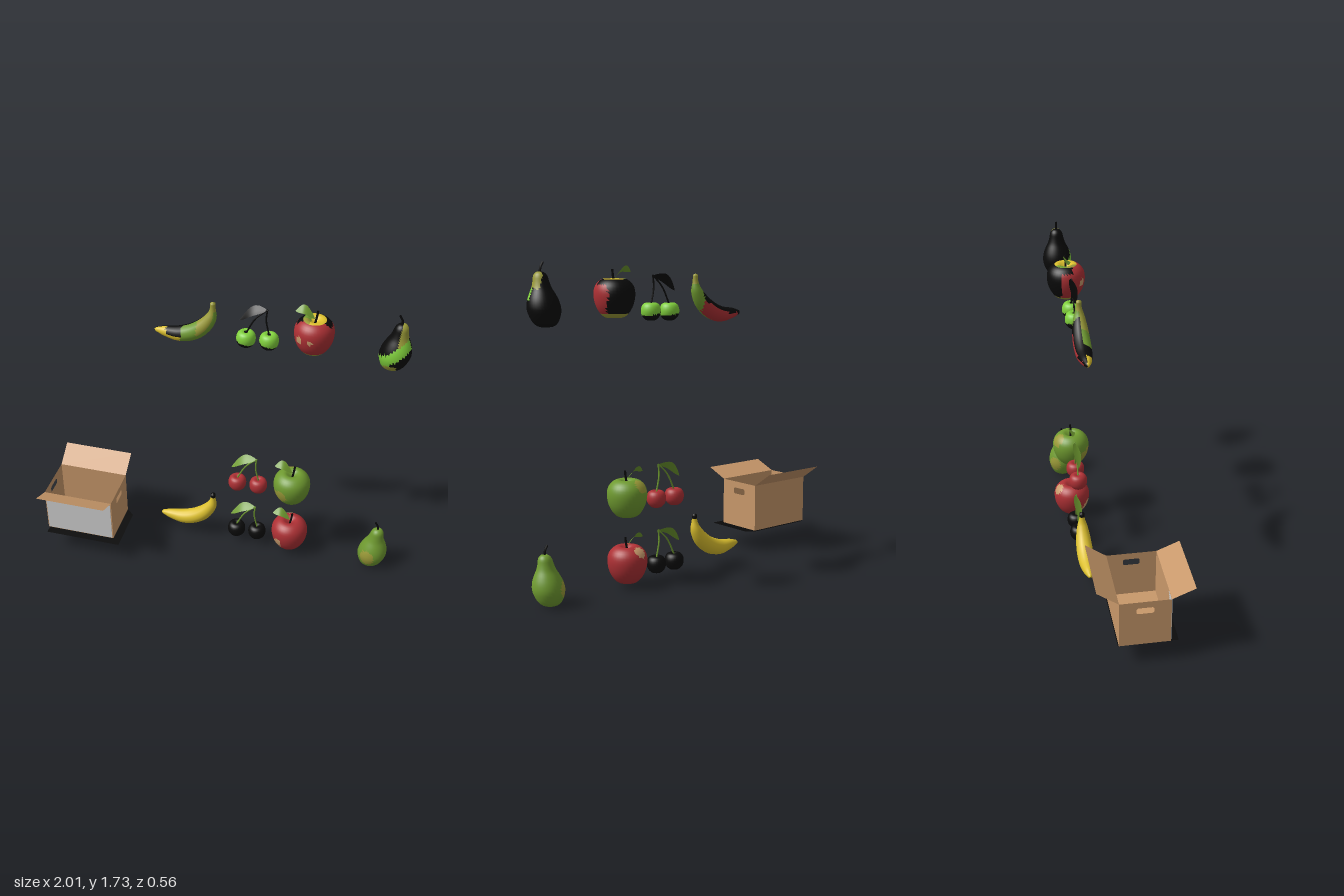
import * as THREE from 'three';

const mat = (name, color, side = THREE.FrontSide) => {
  const m = new THREE.MeshStandardMaterial({ color, side });
  m.name = name;
  return m;
};
const M = {
  cardboard: mat('cardboard', 0xc8986a, THREE.DoubleSide),
  grey: mat('panel grey', 0xd0d0d0),
  black: mat('black', 0x0a0a0a, THREE.DoubleSide),
  yellow: mat('yellow', 0xdcc02e),
  green: mat('green', 0x6f9a30, THREE.DoubleSide),
  lime: mat('lime', 0x80cf3c),
  red: mat('red', 0xac3034),
  tan: mat('tan', 0xc89a6c),
  olive: mat('olive', 0x9a9a38),
};
const Z = -0.175; // depth of the fruit row
const V = (x, y, z = 0) => new THREE.Vector3(x, y, z);

function add(parent, name, geo, material, x = 0, y = 0, z = 0) {
  const m = new THREE.Mesh(geo, material);
  m.name = name;
  m.position.set(x, y, z);
  parent.add(m);
  return m;
}

function group(parent, name, x = 0, y = 0, z = 0) {
  const g = new THREE.Group();
  g.name = name;
  g.position.set(x, y, z);
  parent.add(g);
  return g;
}

// Sort triangles into colour groups by a rule on face centre and normal
function painted(parent, name, geo, pick) {
  const p = geo.attributes.position, idx = geo.index.array, buckets = {};
  const v = [V(0, 0), V(0, 0), V(0, 0)], tri = new THREE.Triangle(), c = V(0, 0), n = V(0, 0);
  for (let i = 0; i < idx.length; i += 3) {
    v.forEach((q, k) => q.fromBufferAttribute(p, idx[i + k]));
    tri.set(...v);
    tri.getMidpoint(c);
    tri.getNormal(n);
    (buckets[pick(c, n)] ??= []).push(idx[i], idx[i + 1], idx[i + 2]);
  }
  const order = [], mats = [];
  geo.clearGroups();
  for (const key in buckets) {
    geo.addGroup(order.length, buckets[key].length, mats.length);
    mats.push(M[key]);
    order.push(...buckets[key]);
  }
  geo.setIndex(order);
  return add(parent, name, geo, mats);
}

// Smooth turned body from a bottom-to-top profile
function turned(profile, rows = 28, segs = 36) {
  const curve = new THREE.SplineCurve(profile.map(([r, y]) => new THREE.Vector2(r, y)));
  const pts = curve.getPoints(rows);
  pts.forEach(q => { q.x = Math.max(q.x, 0); });
  return new THREE.LatheGeometry(pts, segs);
}

// Closed body swept along a path of [x, y, radius]
function swept(stations, rows = 40, segs = 16) {
  const path = new THREE.CatmullRomCurve3(stations.map(([x, y]) => V(x, y)));
  const rad = new THREE.SplineCurve(stations.map(([, , r], i) => new THREE.Vector2(i, r)));
  const pos = [], index = [];
  for (let i = 0; i <= rows; i++) {
    const u = i / rows, c = path.getPoint(u), t = path.getTangent(u);
    const r = i % rows ? Math.max(rad.getPoint(u).y, 0.003) : 0;
    for (let j = 0; j < segs; j++) {
      const a = j / segs * Math.PI * 2;
      pos.push(c.x - t.y * r * Math.cos(a), c.y + t.x * r * Math.cos(a), r * Math.sin(a));
      if (i === rows) continue;
      const k = (j + 1) % segs, A = i * segs, B = A + segs;
      index.push(A + j, A + k, B + j, A + k, B + k, B + j);
    }
  }
  const g = new THREE.BufferGeometry();
  g.setAttribute('position', new THREE.Float32BufferAttribute(pos, 3));
  g.setIndex(index);
  g.computeVertexNormals();
  return g;
}

const stem = (pts, r) => new THREE.TubeGeometry(new THREE.CatmullRomCurve3(pts), 10, r, 8);

// Pointed leaf, bowed along a three-point curve and folded at the midrib
function leaf(a, b, c, half) {
  const g = new THREE.PlaneGeometry(1, 2, 14, 2), p = g.attributes.position;
  const curve = new THREE.CatmullRomCurve3([a, b, c]);
  for (let i = 0; i < p.count; i++) {
    const u = p.getX(i) + 0.5, s = p.getY(i), q = curve.getPoint(u);
    const w = half * Math.pow(Math.sin(Math.PI * u), 0.8);
    p.setXYZ(i, q.x, q.y - s * w * 0.65 + Math.abs(s) * w * 0.15, q.z + s * w * 0.75);
  }
  g.computeVertexNormals();
  return g;
}

function banana(parent, name, y, pick) {
  const g = group(parent, name, 0, y, Z);
  painted(g, name + 'Body', swept([
    [-0.386, 0.108, 0.010], [-0.33, 0.105, 0.028], [-0.243, 0.102, 0.043], [-0.168, 0.125, 0.047],
    [-0.106, 0.171, 0.043], [-0.065, 0.232, 0.031], [-0.056, 0.283, 0.016], [-0.056, 0.326, 0.014]]), pick);
}

function cherries(parent, name, x, y, pick, stalk) {
  const g = group(parent, name, x, y, Z);
  for (const [cx, cy, side] of [[0.093, 0.08, 'right'], [0.22, 0.084, 'left']]) {
    const body = turned([[0, -0.046], [0.025, -0.044], [0.047, -0.022], [0.053, 0.008],
      [0.045, 0.035], [0.026, 0.047], [0.008, 0.041], [0, 0.037]], 20, 28);
    painted(g, side + 'Cherry', body, pick).position.set(cx, cy, 0);
    const bend = V((cx + 0.206) / 2 + (side === 'left' ? -0.012 : -0.008), 0.21);
    add(g, side + 'CherryStem', stem([V(cx, cy + 0.035), bend, V(0.206, 0.274)], 0.0045), stalk);
  }
  add(g, 'cherryLeaf', leaf(V(0.056, 0.19), V(0.126, 0.252), V(0.206, 0.272), 0.03), stalk);
}

function apple(parent, name, x, y, pick) {
  const g = group(parent, name, x, y, Z);
  const body = turned([[0, -0.083], [0.03, -0.1], [0.065, -0.086], [0.095, -0.04], [0.107, 0.015],
    [0.1, 0.06], [0.075, 0.09], [0.045, 0.1], [0.02, 0.086], [0, 0.07]]);
  painted(g, name + 'Body', body, pick);
  add(g, 'appleStem', stem([V(0, 0.07), V(0.008, 0.11), V(0.013, 0.148)].map(p => V(p.x, p.y)), 0.006), M.black);
  add(g, 'appleLeaf', leaf(V(-0.105, 0.132), V(-0.06, 0.145), V(0, 0.1), 0.026), M.green);
}

function pear(parent, name, y, pick) {
  const g = group(parent, name, 0.914, y, Z);
  const body = turned([[0, 0.006], [0.03, 0], [0.062, 0.022], [0.083, 0.075], [0.08, 0.12], [0.066, 0.158],
    [0.05, 0.19], [0.041, 0.22], [0.034, 0.25], [0.018, 0.267], [0, 0.268]]);
  const p = body.attributes.position; // lean the neck sideways
  for (let i = 0; i < p.count; i++) p.setX(i, p.getX(i) + 0.12 * p.getY(i));
  painted(g, name + 'Body', body, pick);
  add(g, 'pearStem', stem([V(0.032, 0.26), V(0.028, 0.29), V(0.014, 0.316)], 0.006), M.black);
}

function box(parent) {
  const w = 0.413, h = 0.272, d = 0.272, tilt = [];
  const g = group(parent, 'cardboardBox', -0.792, 0.126, 0.02);
  const plane = (name, pw, ph, x, y, z, rx) =>
    add(g, name, new THREE.PlaneGeometry(pw, ph), M.cardboard, x, y, z).rotation.x = rx;
  plane('boxBottom', w, d, 0, 0.004, 0, -Math.PI / 2);
  plane('backWall', w, h, 0, h / 2, -d / 2, Math.PI);
  plane('frontWall', w, h, 0, h / 2, d / 2, 0);
  add(g, 'frontPanel', new THREE.BoxGeometry(w - 0.012, h - 0.012, 0.004), M.grey, 0, h / 2, d / 2 + 0.002);

  // Side walls with a rounded hand hole
  const wall = new THREE.Shape([[-d / 2, 0], [d / 2, 0], [d / 2, h], [-d / 2, h]].map(q => new THREE.Vector2(...q)));
  const hole = new THREE.Path(), hx = 0.046, r = 0.012, y0 = 0.198, y1 = 0.234;
  hole.absarc(hx - r, y0 + r, r, -Math.PI / 2, 0);
  hole.absarc(hx - r, y1 - r, r, 0, Math.PI / 2);
  hole.absarc(-hx + r, y1 - r, r, Math.PI / 2, Math.PI);
  hole.absarc(-hx + r, y0 + r, r, Math.PI, Math.PI * 1.5);
  wall.holes.push(hole);
  for (const s of [-1, 1])
    add(g, s > 0 ? 'leftWall' : 'rightWall', new THREE.ShapeGeometry(wall), M.cardboard, s * w / 2).rotation.y = s * Math.PI / 2;

  // Open flaps, leaning outward
  for (const [name, s, out, up] of [['frontFlap', 1, 0.125, 0.053], ['backFlap', -1, 0.115, 0.082]])
    plane(name, w, Math.hypot(out, up), 0, h + up / 2, s * (d + out) / 2, -Math.PI / 2 - s * Math.atan2(up, out));

  // Dark mat under the box
  const matShape = new THREE.Shape([[-0.2, -0.18], [0.252, -0.18], [0.252, 0.1], [0.205, 0.14], [-0.2, 0.14]]
    .map(q => new THREE.Vector2(...q)));
  add(g, 'baseMat', new THREE.ShapeGeometry(matShape), M.black, 0, -0.004, 0).rotation.x = -Math.PI / 2;
}

export function createModel() {
  const root = new THREE.Group();
  root.name = 'fruitAndBox';
  box(root);
  const near = (c, x, y, rx, ry) => c.z > 0 && ((c.x - x) / rx) ** 2 + ((c.y - y) / ry) ** 2 < 1;

  // Bananas
  banana(root, 'ripeBanana', 0, c => (c.y > 0.295 || c.x < -0.38 ? 'black' : 'yellow'));
  banana(root, 'patchedBanana', 1.326, (c, n) => {
    if (c.y > 0.27) return 'olive';
    if (n.z < -0.15) return c.x < -0.36 ? 'black' : c.x > -0.09 ? 'green' : n.y > 0.2 ? 'black' : 'red';
    if (c.x < -0.315) return 'yellow';
    if (c.x < -0.227) return n.y > -0.1 ? 'black' : 'yellow';
    return c.x > -0.14 && n.y - n.x > -0.3 ? 'olive' : 'green';
  });

  // Cherry pairs
  cherries(root, 'blackCherries', 0, 0, () => 'black', M.green);
  cherries(root, 'redCherries', 0, 0.364, () => 'red', M.green);
  cherries(root, 'limeCherries', 0.035, 1.374,
    c => (c.y + 0.2 * c.x < -0.012 || Math.hypot(c.x, c.z) < 0.012 ? 'black' : 'lime'), M.black);

  // Apples
  apple(root, 'redApple', 0.42, 0.123, c =>
    near(c, -0.056, -0.03, 0.022, 0.045) || Math.hypot(c.x + 0.02, c.y - 0.07, c.z + 0.075) < 0.035 ? 'tan' : 'red');
  apple(root, 'greenApple', 0.42, 0.482, c =>
    near(c, -0.05, -0.02, 0.04, 0.045) || Math.hypot(c.x + 0.03, c.y - 0.07, c.z + 0.075) < 0.04 ? 'olive' : 'green');
  apple(root, 'patchedApple', 0.495, 1.535, c => {
    const r = Math.hypot(c.x, c.z);
    if (c.y > 0.06 && r < 0.062) return c.x > -0.02 ? 'yellow' : c.z > 0 ? 'olive' : 'green';
    if (c.y < -0.08) return 'olive';
    if (near(c, -0.068, 0.01, 0.014, 0.024) || near(c, -0.005, 0.012, 0.018, 0.015)) return 'tan';
    if (c.y > 0.07 && c.z < 0.03) return 'black';
    return c.z < -0.035 && c.x < 0.085 ? 'black' : 'red';
  });

  // Pears
  pear(root, 'greenPear', 0, c =>
    near(c, -0.01, 0.09, 0.042, 0.05) || Math.hypot(c.x + 0.05, c.y - 0.09, c.z + 0.06) < 0.045 ? 'olive' : 'green');
  pear(root, 'patchedPear', 1.407, c => {
    const band = c.y - 0.105 - 0.75 * c.x;
    if (band > 0.03) return c.x - 0.12 * c.y > 0.004 && c.z > -0.035 ? 'olive' : 'black';
    if (c.z < 0.005) return 'black';
    if (band > -0.04) return 'lime';
    return c.y < 0.05 && c.x < 0.03 ? 'olive' : 'black';
  });
  return root;
}
